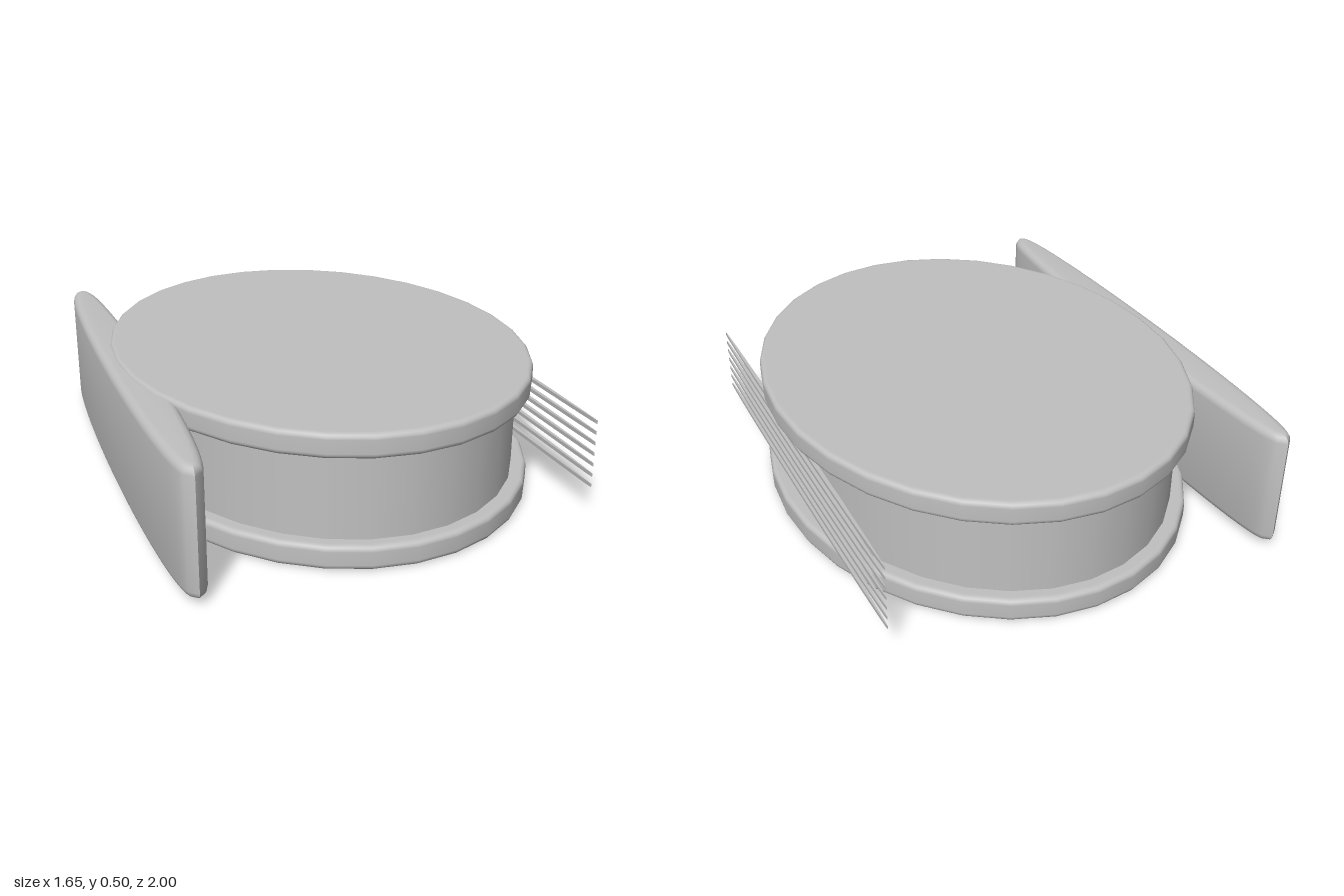
import * as THREE from 'three';
import { toCreasedNormals } from 'three/addons/utils/BufferGeometryUtils.js';

export function createModel() {
  const model = new THREE.Group();
  const grey = new THREE.MeshStandardMaterial({ color: 0xc0c0c0 });
  grey.name = 'plain grey';

  const add = (name, geometry, x, y, z = 0) => {
    const mesh = new THREE.Mesh(geometry, grey);
    mesh.name = name;
    mesh.position.set(x, y, z);
    model.add(mesh);
  };

  // Oval cover plate with softly rounded rims
  const coverGeometry = (rx, rz, h, r) => {
    const points = [new THREE.Vector2(0, 0), new THREE.Vector2(1 - r * 1.5, 0)];
    for (let i = 0; i <= 4; i++) {
      const a = (i / 4) * Math.PI / 2;
      points.push(new THREE.Vector2(1 - r + r * Math.sin(a), r - r * Math.cos(a)));
    }
    for (let i = 0; i <= 4; i++) {
      const a = (i / 4) * Math.PI / 2;
      points.push(new THREE.Vector2(1 - r + r * Math.cos(a), h - r + r * Math.sin(a)));
    }
    points.push(new THREE.Vector2(1 - r * 1.5, h), new THREE.Vector2(0, h));
    return new THREE.LatheGeometry(points, 32).scale(rx, 1, rz);
  };
  add('bottomCover', coverGeometry(0.8, 1, 0.09, 0.02), 0.02, 0);
  add('topCover', coverGeometry(0.8, 1, 0.09, 0.02), 0.02, 0.41);

  // Oval core between the covers
  const core = new THREE.CylinderGeometry(1, 1, 0.34, 32).scale(0.74, 1, 0.945);
  add('core', core, 0.02, 0.25);

  // Lens-shaped upright spine with rounded edges
  const bevel = 0.03;
  const outline = new THREE.Shape();
  outline.absellipse(0, 0, 0.085 - bevel, 0.99 - bevel, 0, Math.PI * 2);
  const spine = new THREE.ExtrudeGeometry(outline, {
    depth: 0.47 - 2 * bevel, curveSegments: 32, bevelEnabled: true,
    bevelThickness: bevel, bevelSize: bevel, bevelSegments: 4,
  });
  spine.rotateX(-Math.PI / 2);
  add('spine', toCreasedNormals(spine, 0.7), -0.74, 0.02 + bevel);

  // Seven fine strips along the open side
  const strip = new THREE.CylinderGeometry(1, 1, 0.014, 32).scale(0.008, 1, 0.885);
  for (let i = 0; i < 7; i++) add('strip' + (i + 1), strip, 0.763, 0.12 + i * 0.0417);

  return model;
}
